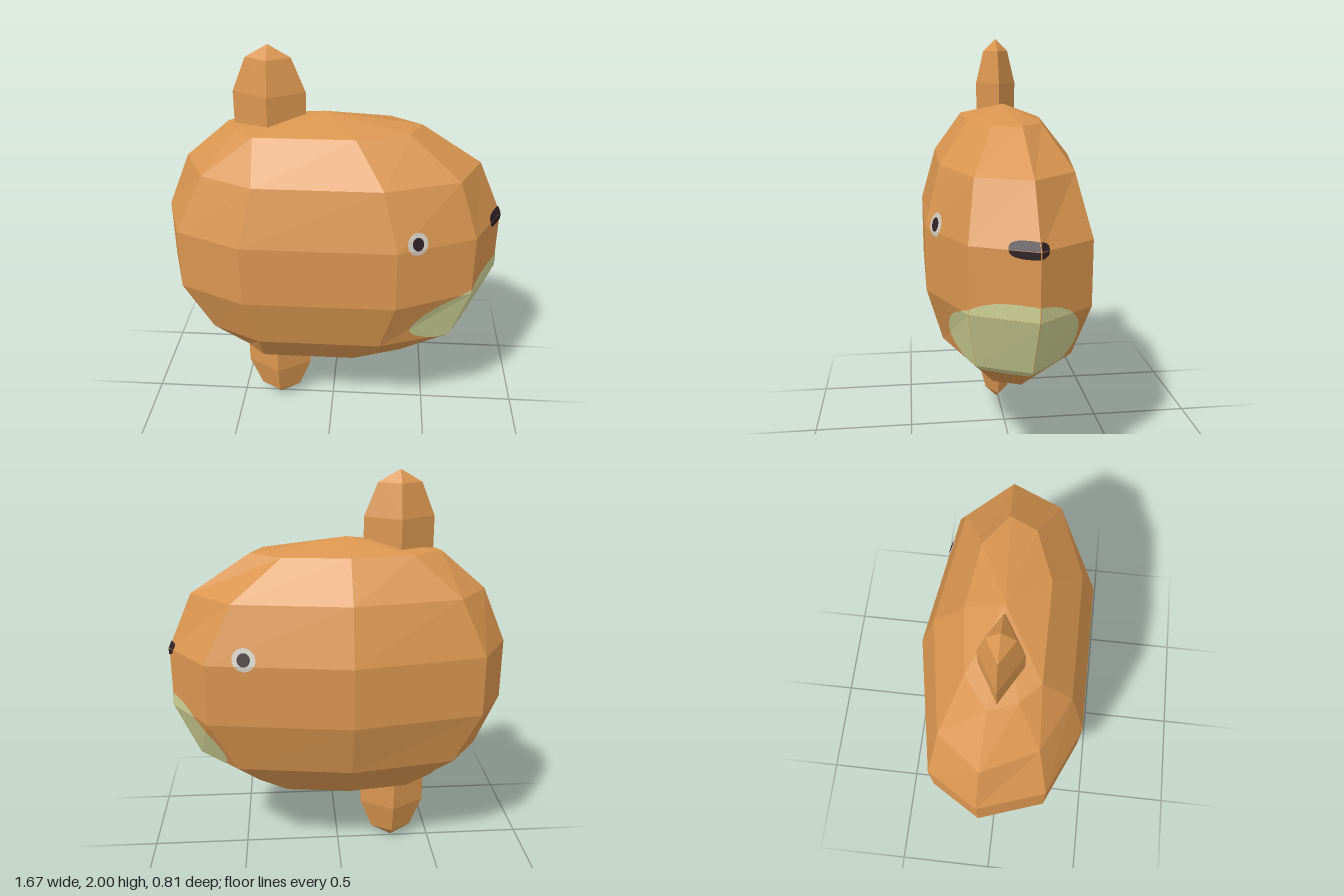
import * as THREE from 'three';

const mat = (name, color) => {
  const m = new THREE.MeshStandardMaterial({ color, flatShading: true });
  m.name = name;
  return m;
};

// Horizontal outlines [x, z], from the back round by +x
const WIDE = [[-0.05, -0.41], [0.64, -0.31], [0.83, -0.05], [0.69, 0.235], [0.32, 0.405],
  [-0.41, 0.405], [-0.73, 0.26], [-0.835, -0.05], [-0.69, -0.29]];
const MIDDLE = [[-0.05, -0.33], [0.51, -0.25], [0.71, -0.04], [0.6, 0.2], [0.25, 0.33],
  [-0.35, 0.33], [-0.6, 0.21], [-0.72, -0.04], [-0.57, -0.24]];
const SMALL = [[-0.05, -0.18], [0.27, -0.14], [0.42, -0.03], [0.36, 0.1], [0.115, 0.19],
  [-0.355, 0.19], [-0.45, 0.1], [-0.5, -0.03], [-0.35, -0.14]];
const POLE = WIDE.map(() => [-0.04, 0]);

// Triangles of the faceted body, lofted from bottom to top
function bodyTriangles() {
  const outlines = [POLE, SMALL, MIDDLE, WIDE, WIDE, MIDDLE, SMALL, POLE];
  const rings = outlines.map((o, j) => {
    const y = 1.01 - 0.68 * Math.cos((j * Math.PI) / 7);
    return o.map(([x, z]) => new THREE.Vector3(x, y, z));
  });
  const tris = [];
  for (let j = 0; j < 7; j++) {
    for (let i = 0; i < 9; i++) {
      const k = (i + 1) % 9, lo = rings[j], up = rings[j + 1];
      if (j > 0) tris.push([lo[k], lo[i], up[i]]);
      if (j < 6) tris.push([lo[k], up[i], up[k]]);
      if (j === 0) tris.push([lo[k], up[i], up[k]]);
    }
  }
  // the top cap needs only its lower triangle, which is already added
  return tris;
}

function trianglesToGeometry(tris) {
  const g = new THREE.BufferGeometry().setFromPoints(tris.flat());
  g.computeVertexNormals();
  return g;
}

// Rounded outline in a projection plane
function oval(cu, cv, ru, rv, power = 2, tilt = 0) {
  const pts = [];
  for (let i = 0; i < 40; i++) {
    const a = (i / 40) * Math.PI * 2, c = Math.cos(a), s = Math.sin(a);
    const u = ru * Math.sign(c) * Math.abs(c) ** (2 / power);
    const v = rv * Math.sign(s) * Math.abs(s) ** (2 / power);
    pts.push([cu + u * Math.cos(tilt) - v * Math.sin(tilt), cv + u * Math.sin(tilt) + v * Math.cos(tilt)]);
  }
  return pts;
}

// Thin skin: body faces towards dir, clipped to the outline and lifted slightly
function skin(tris, dir, axis, outline, lift) {
  const out = [];
  for (const t of tris) {
    const n = new THREE.Triangle(...t).getNormal(new THREE.Vector3());
    if (n.dot(dir) < 0.05) continue;
    let poly = t;
    outline.forEach((a, i) => {
      const b = outline[(i + 1) % outline.length];
      const side = (p) => (b[0] - a[0]) * (p.y - a[1]) - (b[1] - a[1]) * (p[axis] - a[0]);
      const next = [];
      poly.forEach((p, k) => {
        const q = poly[(k + 1) % poly.length], sp = side(p), sq = side(q);
        if (sp >= 0) next.push(p);
        if (sp >= 0 !== sq >= 0) next.push(p.clone().lerp(q, sp / (sp - sq)));
      });
      poly = next;
    });
    const raised = poly.map((p) => p.clone().addScaledVector(n, lift));
    for (let k = 1; k + 1 < raised.length; k++) out.push([raised[0], raised[k], raised[k + 1]]);
  }
  return trianglesToGeometry(out);
}

export function createModel() {
  const group = new THREE.Group();
  const orange = mat('orange', 0xd9954f);
  const cream = mat('paleGreen', 0xcdd094);
  const white = mat('eyeWhite', 0xd0ccc2);
  const dark = mat('dark', 0x2e2024);
  const add = (name, geometry, material) => {
    const m = new THREE.Mesh(geometry, material);
    m.name = name;
    group.add(m);
    return m;
  };

  const tris = bodyTriangles();
  add('body', trianglesToGeometry(tris), orange);

  // Upper and lower fins: tapered four-sided prisms sunk into the body
  const profile = [[0.17, 1.4], [0.17, 1.78], [0.105, 1.94], [0, 2]].map(([r, y]) => new THREE.Vector2(r, y));
  const lower = profile.map((p) => new THREE.Vector2(p.x, 2 - p.y)).reverse();
  for (const [name, pts] of [['upperFin', profile], ['lowerFin', lower]]) {
    const fin = add(name, new THREE.LatheGeometry(pts, 4), orange);
    fin.scale.z = 0.59;
    fin.position.set(-0.296, 0, 0.01);
  }

  // Muzzle and nose wrap the +x end
  const ahead = new THREE.Vector3(1, 0, 0);
  add('muzzle', skin(tris, ahead, 'z', oval(0.026, 0.735, 0.28, 0.195, 2.4), 0.003), cream);
  add('nose', skin(tris, ahead, 'z', oval(-0.006, 1.165, 0.08, 0.037, 2.6), 0.005), dark);

  // One eye on each broad side
  for (const [side, s, x, w] of [['front', 1, 0.41, 0.045], ['back', -1, 0.455, 0.055]]) {
    const dir = new THREE.Vector3(0, 0, s);
    add(side + 'Eye', skin(tris, dir, 'x', oval(x, 1.192, w, 0.054, 2, 0.4), 0.003), white);
    add(side + 'Pupil', skin(tris, dir, 'x', oval(x, 1.192, w * 0.55, 0.032, 2, 0.4), 0.006), dark);
  }
  return group;
}
